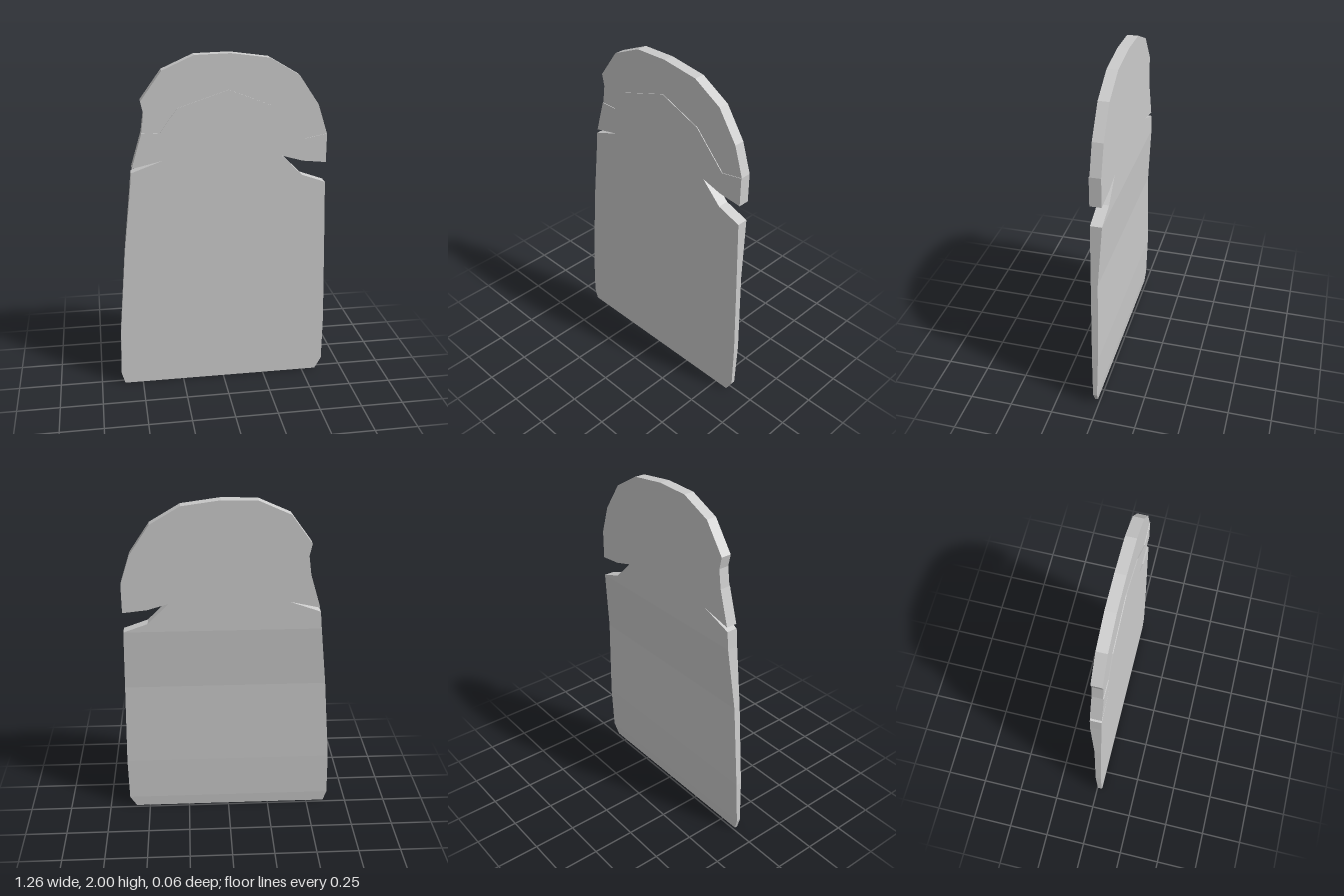
import * as THREE from 'three';

const BODY_Z = 0.032, HEAD_Z = 0.028;

// Rows of the tapering body: y, left x, right x, back z
const ROWS = [
  [0, -0.61, 0.585, 0.015], [0.07, -0.63, 0.625, 0.008], [0.35, -0.622, 0.627, -0.003],
  [0.87, -0.578, 0.612, -0.007], [1.24, -0.535, 0.6, -0.033],
];
const BODY_LEFT = ROWS.map(r => [r[1], r[0]]).reverse();
const BODY_RIGHT = ROWS.map(r => [r[2], r[0]]);

// Notches, domed top and the shallow step across the front
const RIGHT_NOTCH = [[0.46, 1.29], [0.34, 1.41], [0.46, 1.375], [0.6, 1.36]];
const LEFT_NOTCH = [[-0.52, 1.37], [-0.345, 1.41], [-0.525, 1.345]];
const DOME = [[0.6, 1.53], [0.545, 1.7], [0.43, 1.87], [0.26, 1.97], [0.04, 2], [-0.16, 1.995],
  [-0.34, 1.915], [-0.46, 1.75], [-0.445, 1.68], [-0.46, 1.57]];
const STEP = [[-0.355, 1.57], [-0.26, 1.705], [0.03, 1.8], [0.285, 1.7], [0.47, 1.505]];

// Back depth interpolated along the height
function backZ(y) {
  for (let i = 1; i < ROWS.length; i++) {
    const a = ROWS[i - 1], b = ROWS[i];
    if (y <= b[0]) return a[3] + (b[3] - a[3]) * (y - a[0]) / (b[0] - a[0]);
  }
  return ROWS[ROWS.length - 1][3];
}

// Flat polygon whose depth follows zAt(y); flip makes it face backwards
function face(points, zAt, flip = false) {
  const geo = new THREE.ShapeGeometry(new THREE.Shape(points.map(p => new THREE.Vector2(...p))));
  const pos = geo.attributes.position;
  for (let i = 0; i < pos.count; i++) pos.setZ(i, zAt(pos.getY(i)));
  if (flip) geo.setIndex(Array.from(geo.index.array).reverse());
  geo.computeVertexNormals();
  return geo;
}

// Strip of quads along a path, from the back depth to the front depth
function wall(points, back, front) {
  const pos = [], index = [];
  points.forEach(([x, y], i) => {
    pos.push(x, y, back(y), x, y, front);
    const k = i * 2;
    if (i) index.push(k - 2, k, k + 1, k - 2, k + 1, k - 1);
  });
  const geo = new THREE.BufferGeometry();
  geo.setAttribute('position', new THREE.Float32BufferAttribute(pos, 3));
  geo.setIndex(index);
  geo.computeVertexNormals();
  return geo;
}

export function createModel() {
  const group = new THREE.Group();
  group.name = 'notchedSlab';
  const material = new THREE.MeshStandardMaterial({ color: 0xcccccc, flatShading: true });
  const add = (name, geo) => {
    const mesh = new THREE.Mesh(geo, material);
    mesh.name = name;
    group.add(mesh);
  };
  const first = DOME[0], last = DOME[DOME.length - 1];
  const lowerRim = [last, ...LEFT_NOTCH, ...BODY_LEFT, ...BODY_RIGHT, ...RIGHT_NOTCH, first];

  // Front: proud body, recessed dome and the riser between them
  add('bodyFront', face([...lowerRim, ...[...STEP].reverse()], () => BODY_Z));
  add('domeFront', face([...DOME, ...STEP], () => HEAD_Z));
  add('frontStep', wall([first, ...[...STEP].reverse(), last], () => HEAD_Z, BODY_Z));

  // Outer edges
  add('bodyRim', wall(lowerRim, backZ, BODY_Z));
  add('domeRim', wall(DOME, backZ, HEAD_Z));

  // Back: full-thickness head, then bands thinning towards the foot
  add('headBack', face([BODY_LEFT[0], BODY_RIGHT[4], ...RIGHT_NOTCH, ...DOME, ...LEFT_NOTCH], backZ, true));
  for (let i = 1; i < ROWS.length; i++) {
    const [a, b] = [ROWS[i - 1], ROWS[i]];
    add('bodyBackBand', face([[a[1], a[0]], [a[2], a[0]], [b[2], b[0]], [b[1], b[0]]], backZ, true));
  }
  return group;
}
